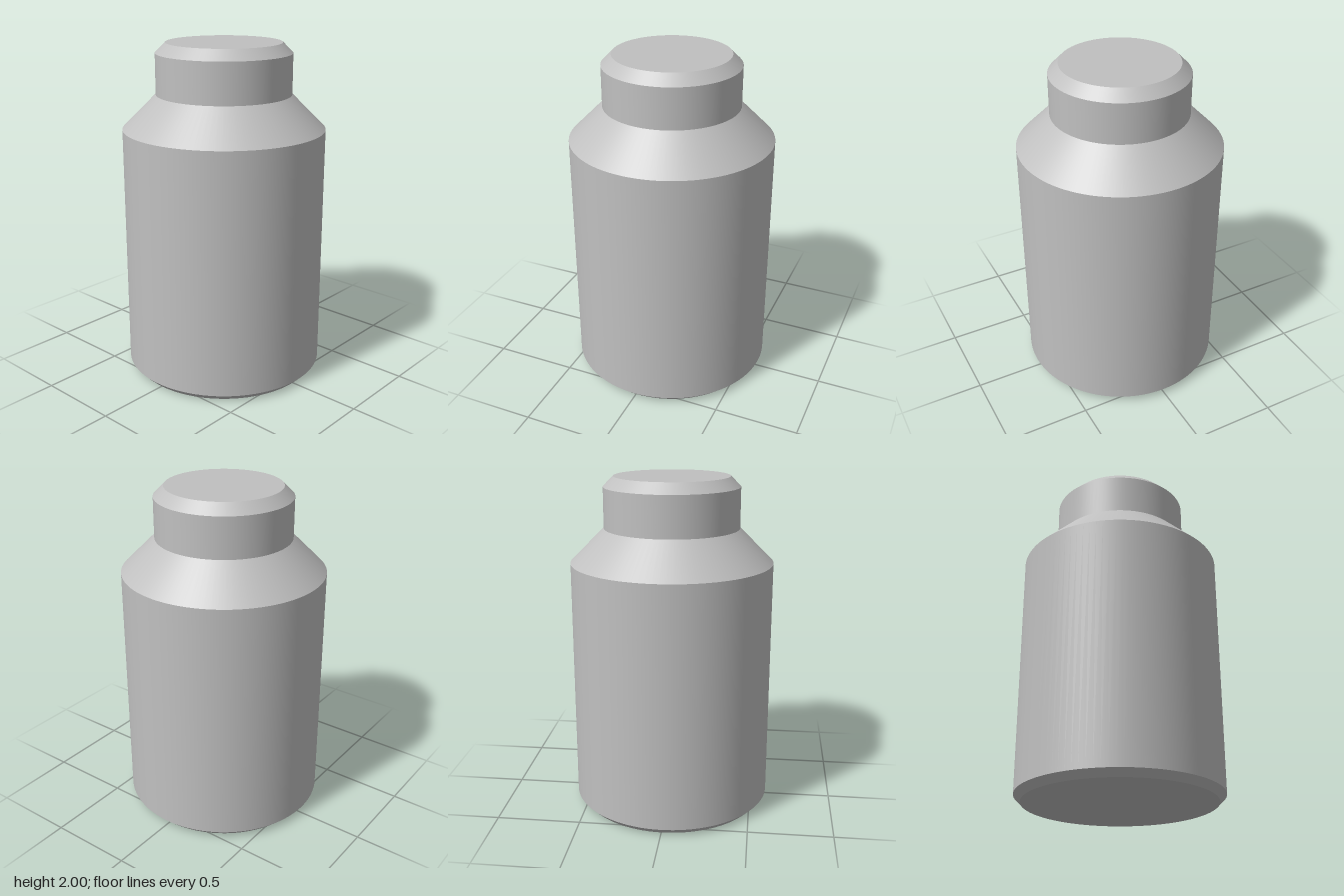
import * as THREE from 'three';

const SEGMENTS = 96;

export function createModel() {
  const model = new THREE.Group();
  model.name = 'bottle';
  const grey = new THREE.MeshStandardMaterial({ color: 0xc0c0c0 });
  grey.name = 'light grey';

  // Each ring is its own open frustum, so the edges between rings stay sharp
  const addRing = (name, y0, r0, y1, r1) => {
    const ring = new THREE.Mesh(
      new THREE.CylinderGeometry(r1, r0, y1 - y0, SEGMENTS, 1, true), grey);
    ring.name = name;
    ring.position.y = (y0 + y1) / 2;
    model.add(ring);
  };

  // Flat discs close the two ends; both start at the same corner as the rings
  const addDisc = (name, y, radius, facing) => {
    const disc = new THREE.Mesh(new THREE.CircleGeometry(radius, SEGMENTS), grey);
    disc.name = name;
    disc.rotation.x = -facing * Math.PI / 2;
    disc.position.y = y;
    model.add(disc);
  };

  addDisc('base', 0, 0.56, -1);
  addRing('baseChamfer', 0, 0.56, 0.04, 0.6);
  addRing('body', 0.04, 0.6, 1.5, 0.6);
  addRing('shoulder', 1.5, 0.6, 1.7, 0.4);
  addRing('neck', 1.7, 0.4, 1.94, 0.4);
  addRing('topChamfer', 1.94, 0.4, 2, 0.34);
  addDisc('top', 2, 0.34, 1);

  return model;
}
